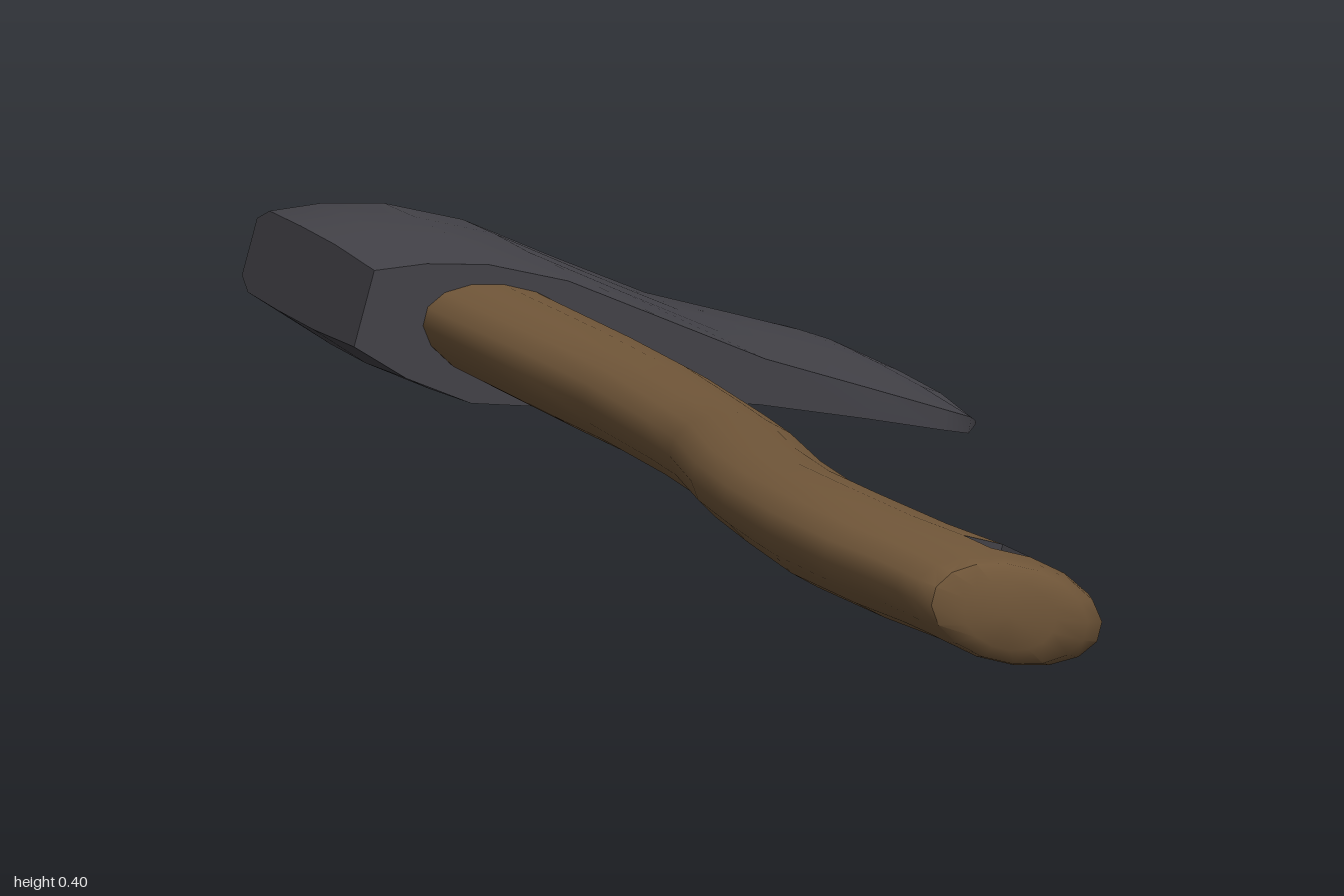
import * as THREE from 'three';
import { toCreasedNormals } from 'three/addons/utils/BufferGeometryUtils.js';

const SIDES = 16;
const ROLL = -0.28; // the whole axe lies rolled toward its blade

// Skin a list of equal-length rings, optionally capped; skip(i, j) leaves a quad open
function loft(rings, { caps = true, crease = 0.7, skip = () => false } = {}) {
  const n = rings[0].length;
  const pos = rings.flat().flatMap((p) => p.toArray());
  const index = [];
  for (let i = 0; i < rings.length - 1; i++) {
    for (let j = 0; j < n; j++) {
      if (skip(i, j)) continue;
      const k = (j + 1) % n;
      const a = i * n + j, b = i * n + k, c = b + n, d = a + n;
      index.push(a, b, c, a, c, d);
    }
  }
  if (caps) {
    [0, rings.length - 1].forEach((r) => {
      const centre = new THREE.Vector3();
      rings[r].forEach((p) => centre.addScaledVector(p, 1 / n));
      const m = pos.length / 3;
      pos.push(...centre.toArray());
      for (let j = 0; j < n; j++) {
        const a = r * n + j, b = r * n + ((j + 1) % n);
        if (r === 0) index.push(m, b, a);
        else index.push(m, a, b);
      }
    });
  }
  const g = new THREE.BufferGeometry();
  g.setAttribute('position', new THREE.Float32BufferAttribute(pos, 3));
  g.setIndex(index);
  return toCreasedNormals(g, crease);
}

// Rolled ellipse that fills the given x and y extents at depth z
function handleRing([z, x0, x1, y0, y1]) {
  const hx = (x1 - x0) / 2, hy = (y1 - y0) / 2;
  const sum = hx * hx + hy * hy;
  const diff = (hx * hx - hy * hy) / Math.cos(2 * ROLL);
  const a = Math.sqrt((sum + diff) / 2), b = Math.sqrt((sum - diff) / 2);
  const ring = [];
  for (let j = 0; j < SIDES; j++) {
    const t = ((j + 0.5) / SIDES) * Math.PI * 2;
    const u = a * Math.cos(t), v = b * Math.sin(t);
    ring.push(new THREE.Vector3(
      (x0 + x1) / 2 + u * Math.cos(ROLL) - v * Math.sin(ROLL),
      (y0 + y1) / 2 + u * Math.sin(ROLL) + v * Math.cos(ROLL),
      z));
  }
  return ring;
}

// Head section: points as [depth from back to front, height from bottom to top]
const HEAD_SECTION = [
  [0, 0.85], [0.08, 1], [0.35, 1.02], [0.65, 1.02], [1, 0.97],
  [1, 0.03], [0.65, -0.02], [0.35, -0.02], [0.08, 0], [0, 0.15],
];

function headRing([xt, yt, xb, yb, zBack, zFront, bow = 0]) {
  return HEAD_SECTION.map(([t, s]) => {
    const z = THREE.MathUtils.lerp(zBack, zFront, t);
    return new THREE.Vector3(
      THREE.MathUtils.lerp(xb, xt, s) + bow * 4 * t * (1 - t),
      THREE.MathUtils.lerp(yb, yt, s) - 0.09 * (z + 0.78),
      z);
  });
}

export function createModel() {
  const wood = new THREE.MeshStandardMaterial({ color: 0x6f5538 });
  wood.name = 'brown wood';
  const steel = new THREE.MeshStandardMaterial({ color: 0x424147 });
  steel.name = 'dark steel';

  const group = new THREE.Group();
  const add = (name, geometry, material) => {
    const mesh = new THREE.Mesh(geometry, material);
    mesh.name = name;
    group.add(mesh);
  };

  // Handle stations from the head to the butt: z, x range, y range
  const stations = [
    [-0.85, -0.37, -0.13, 0.22, 0.36],
    [-0.7, -0.38, -0.12, 0.20, 0.35],
    [-0.58, -0.388, -0.11, 0.175, 0.335],
    [-0.35, -0.342, -0.09, 0.142, 0.302],
    [-0.2, -0.326, -0.083, 0.127, 0.283],
    [0, -0.33, -0.09, 0.11, 0.26],
    [0.12, -0.345, -0.112, 0.105, 0.254],
    [0.3, -0.4, -0.15, 0.097, 0.247],
    [0.45, -0.425, -0.168, 0.085, 0.239],
    [0.6, -0.43, -0.165, 0.062, 0.23],
    [0.75, -0.412, -0.11, 0.035, 0.208],
    [0.85, -0.388, -0.06, 0.016, 0.193],
    [0.91, -0.375, -0.045, 0.006, 0.183],
    [0.95, -0.367, -0.06, 0.005, 0.176],
    [0.985, -0.355, -0.1, 0.015, 0.17],
    [1, -0.31, -0.16, 0.04, 0.145],
  ];
  const rings = stations.map(handleRing);
  const hole = stations.findIndex((s) => s[0] === 0.85);
  add('handle', loft(rings, {
    crease: 0.9,
    skip: (i, j) => i === hole && (j === 3 || j === 11),
  }), wood);

  // Lanyard hole through the butt
  const corners = (j, k) => [rings[hole][j], rings[hole][k], rings[hole + 1][k], rings[hole + 1][j]];
  add('lanyardHole', loft([corners(3, 4), corners(12, 11)], { caps: false }), steel);

  // Wooden end showing behind the head
  add('handleTop', loft([
    [-1, -0.375, -0.13, 0.225, 0.36],
    [-0.99, -0.398, -0.105, 0.21, 0.378],
    [-0.96, -0.402, -0.1, 0.207, 0.385],
    [-0.945, -0.39, -0.11, 0.215, 0.375],
  ].map(handleRing), { crease: 0.9 }), wood);

  // Axe head from poll to cutting edge: top x y, bottom x y, back z, front z, edge bow
  add('axeHead', loft([
    [-0.465, 0.39, -0.5, 0.273, -0.96, -0.59],
    [-0.38, 0.395, -0.415, 0.218, -0.96, -0.59],
    [-0.28, 0.387, -0.31, 0.172, -0.96, -0.59],
    [-0.15, 0.352, -0.19, 0.158, -0.963, -0.59],
    [0, 0.284, -0.02, 0.16, -0.968, -0.59],
    [0.15, 0.219, 0.14, 0.148, -0.975, -0.553],
    [0.3, 0.174, 0.29, 0.128, -0.985, -0.505],
    [0.405, 0.142, 0.395, 0.112, -0.992, -0.472],
    [0.45, 0.125, 0.445, 0.1, -0.988, -0.485, 0.008],
    [0.475, 0.108, 0.475, 0.104, -0.975, -0.52, 0.025],
  ].map(headRing)), steel);

  return group;
}
